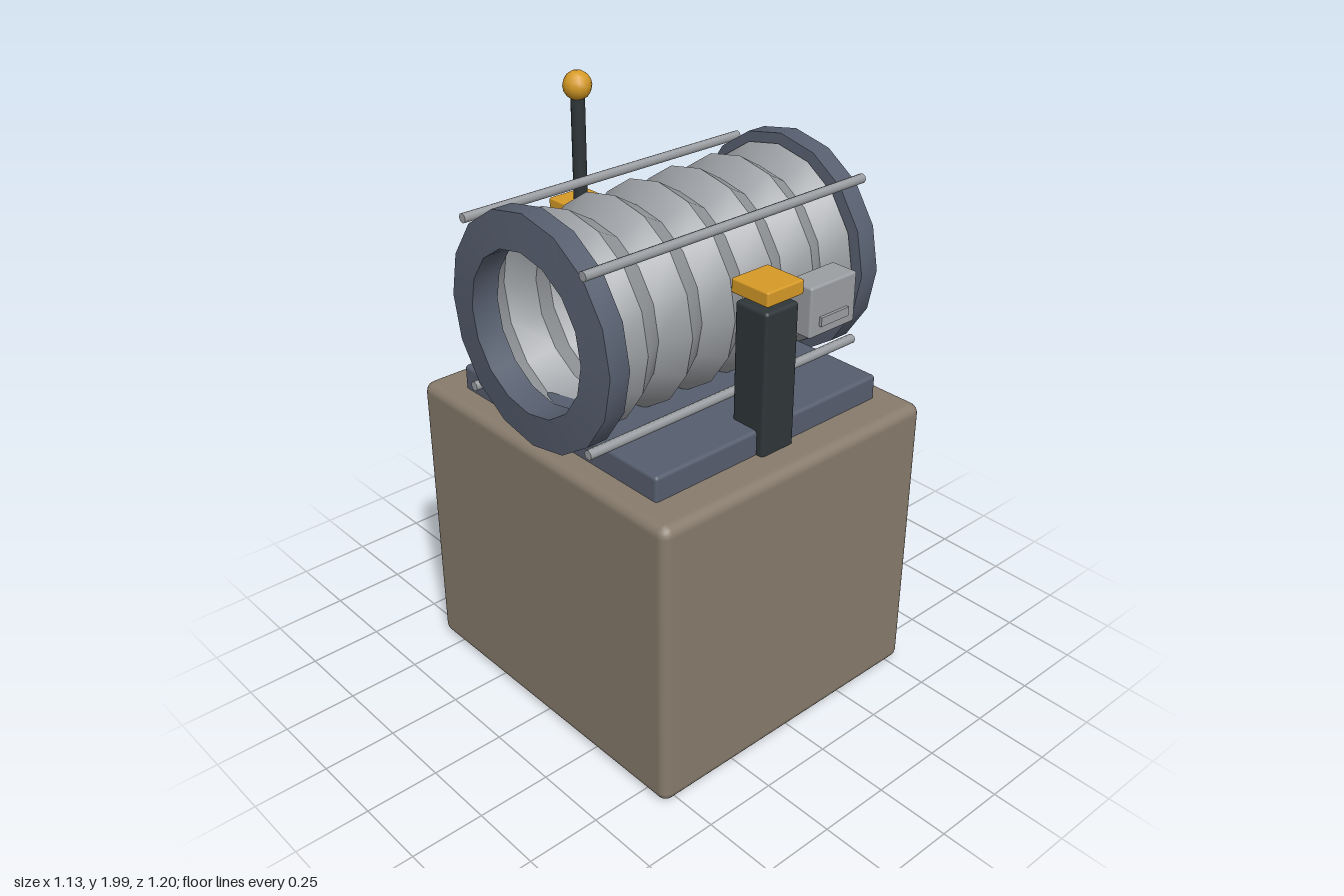
import * as THREE from 'three';
import { toCreasedNormals } from 'three/addons/utils/BufferGeometryUtils.js';
import { RoundedBoxGeometry } from 'three/addons/geometries/RoundedBoxGeometry.js';

function material(name, color, side = THREE.FrontSide) {
  const m = new THREE.MeshStandardMaterial({ color, side });
  m.name = name;
  return m;
}

export function createModel() {
  const model = new THREE.Group();
  model.name = 'bellowsMachine';

  const taupe = material('taupe', 0x877b6c);
  const slate = material('slate', 0x565e6e);
  const charcoal = material('charcoal', 0x2f3639);
  const gold = material('gold', 0xd69a26);
  const grey = material('grey', 0x9b9ea2);
  const bellowsGrey = material('bellowsGrey', 0x999ca0, THREE.DoubleSide);

  const add = (name, geometry, mat, x, y, z) => {
    const mesh = new THREE.Mesh(geometry, mat);
    mesh.name = name;
    mesh.position.set(x, y, z);
    model.add(mesh);
    return mesh;
  };
  const box = (name, mat, size, pos, r) =>
    add(name, new RoundedBoxGeometry(...size, 2, r), mat, ...pos);

  // Turned part lying along the x axis; points are [radius, x]
  const turned = (points) => {
    const g = new THREE.LatheGeometry(points.map(([r, x]) => new THREE.Vector2(r, x)), 16);
    g.rotateZ(-Math.PI / 2);
    return toCreasedNormals(g, 0.55);
  };

  const axisY = 1.42;

  // Pedestal and bed plate
  box('pedestal', taupe, [1.11, 1.02, 1.2], [0, 0.518, 0], 0.035);
  box('bedPlate', slate, [0.94, 0.1, 0.94], [0, 1.06, 0], 0.012);

  // Pleated bellows, open at both ends
  const pleats = [];
  for (let i = 0; i < 12; i++) pleats.push([i % 2 ? 0.342 : 0.29, -0.47 + i * 0.0855]);
  add('bellows', turned(pleats), bellowsGrey, 0, axisY, 0);

  // Tapered end rings
  const ringProfile = [[0.26, -0.047], [0.375, -0.036], [0.375, 0.036], [0.26, 0.047], [0.26, -0.047]];
  for (const s of [-1, 1]) add(s > 0 ? 'leftRing' : 'rightRing', turned(ringProfile), slate, s * 0.516, axisY, 0);

  // Four tie rods
  for (const sy of [-1, 1]) for (const sz of [-1, 1]) {
    const rod = add('tieRod', new THREE.CylinderGeometry(0.016, 0.016, 1.126, 8), grey, 0, axisY + sy * 0.28, sz * 0.28);
    rod.rotation.z = Math.PI / 2;
  }

  // Posts with floating caps, front and back
  for (const s of [-1, 1]) {
    const side = s > 0 ? 'front' : 'back';
    box(side + 'Post', charcoal, [0.135, 0.49, 0.132], [0, 1.26, s * 0.429], 0.012);
    box(side + 'Cap', gold, [0.15, 0.047, 0.15], [0, 1.552, s * 0.428], 0.006);
  }

  // Lever and knob
  add('lever', new THREE.CylinderGeometry(0.024, 0.024, 0.39, 10), charcoal, 0, 1.74, -0.43);
  add('knob', new THREE.SphereGeometry(0.048, 12, 8), gold, 0, 1.952, -0.43);

  // Latch box with raised bar
  box('latchBox', grey, [0.2, 0.168, 0.1], [0.256, 1.42, 0.41], 0.008);
  add('latchBar', new THREE.BoxGeometry(0.12, 0.03, 0.014), grey, 0.256, 1.385, 0.463);

  return model;
}
